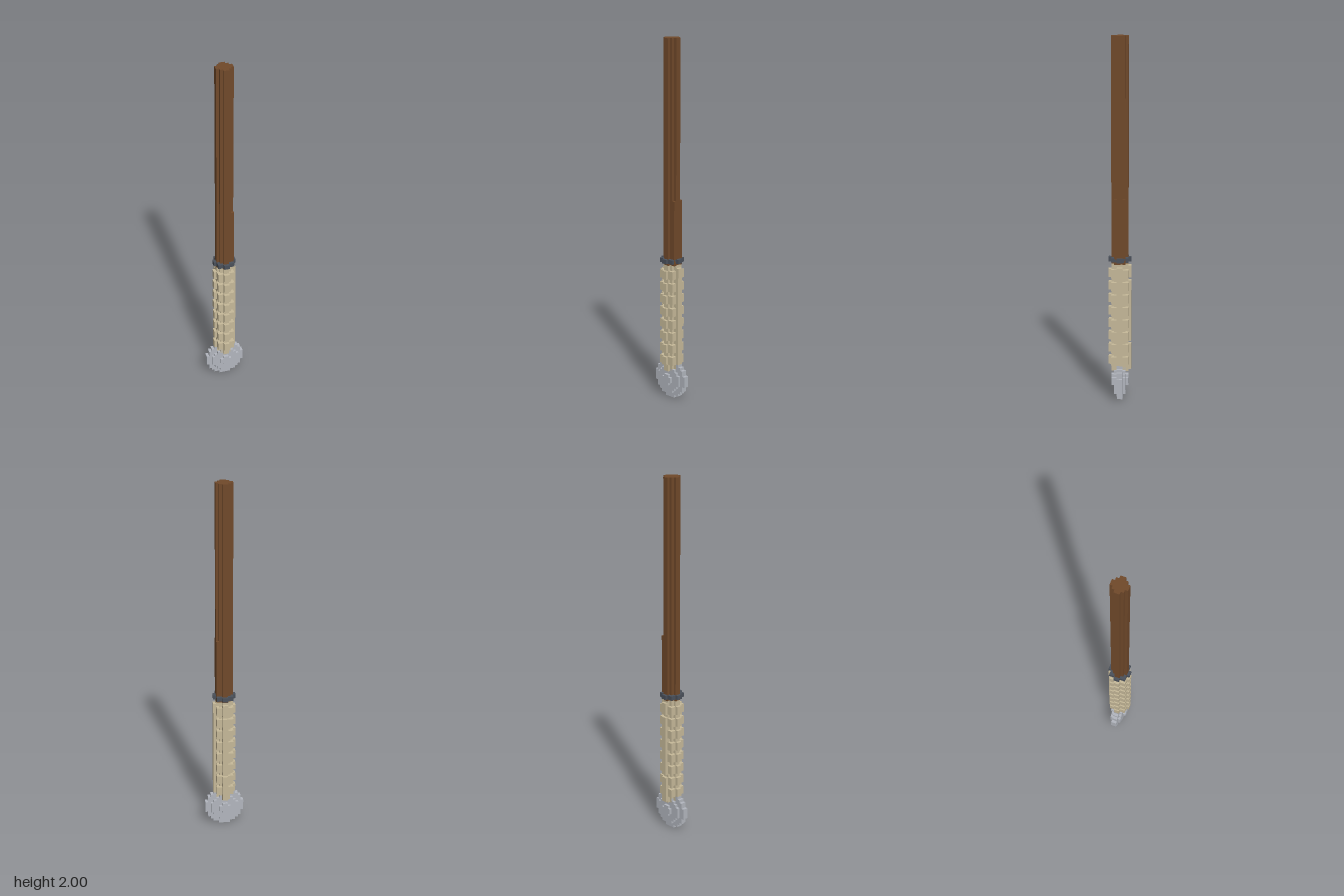
import * as THREE from 'three';

const V = 0.0155; // edge of one block

const mat = (name, color) => {
  const m = new THREE.MeshStandardMaterial({ color });
  m.name = name;
  return m;
};

export function createModel() {
  const wood = mat('brown wood', 0x70492a);
  const bone = mat('pale bone', 0xc6b999);
  const steel = mat('light steel', 0xb2b6be);
  const iron = mat('dark iron', 0x4a505a);

  const model = new THREE.Group();
  model.name = 'blockStaff';

  const part = (name) => {
    const g = new THREE.Group();
    g.name = name;
    model.add(g);
    return g;
  };

  // Box spanning y0..y1; x and z sizes and centres are in blocks
  const block = (parent, name, material, w, d, y0, y1, x = 0, z = 0) => {
    const mesh = new THREE.Mesh(new THREE.BoxGeometry(w * V, y1 - y0, d * V), material);
    mesh.position.set(x * V, (y0 + y1) / 2, z * V);
    mesh.name = name;
    parent.add(mesh);
  };

  // Stepped round column made of crossing boxes
  const column = (parent, name, material, sizes, y0, y1) =>
    sizes.forEach(([w, d]) => block(parent, name, material, w, d, y0, y1));

  const round = [[2, 6], [4, 4], [6, 2]];
  const ring = [[2, 8], [6, 6], [8, 2]];

  // Wooden shaft with a thicker strip low on its left side
  const shaft = part('shaft');
  column(shaft, 'shaftCore', wood, round, 0.77, 2);
  for (const s of [-1, 1]) block(shaft, 'shaftStrip', wood, 1, 1, 0.77, 1.13, 2.5, 1.5 * s);

  // Dark collar between shaft and grip
  column(part('collar'), 'collarRing', iron, ring, 0.782, 0.806);

  // Grip with raised rings
  const grip = part('grip');
  column(grip, 'gripCore', bone, round, 0.16, 0.772);
  for (let i = 0; i < 8; i++) {
    const y = 0.717 - i * 0.0705;
    column(grip, 'gripRing', bone, ring, y - 0.0235, y + 0.0235);
  }
  // Ribs joining the rings on the left and back
  block(grip, 'leftRib', bone, 1, 2, 0.2, 0.755, 3.5, 0);
  for (const [a, b] of [[0.17, 0.318], [0.333, 0.677], [0.692, 0.76]])
    block(grip, 'backRib', bone, 2, 1, a, b, 0, -3.5);

  // Stepped lens-shaped pommel: three stacked discs of rows
  const pommel = part('pommel');
  for (const [r, depth] of [[7, 2], [5, 4], [2, 6]]) {
    for (let h = 1; h <= r; h++) {
      const half = Math.floor(Math.sqrt(r * r - (h - 0.5) ** 2) + 0.4);
      if (half < 1) continue;
      block(pommel, 'pommelRow', steel, half * 2, depth, (7 - h) * V, (7 + h) * V);
    }
  }
  return model;
}
